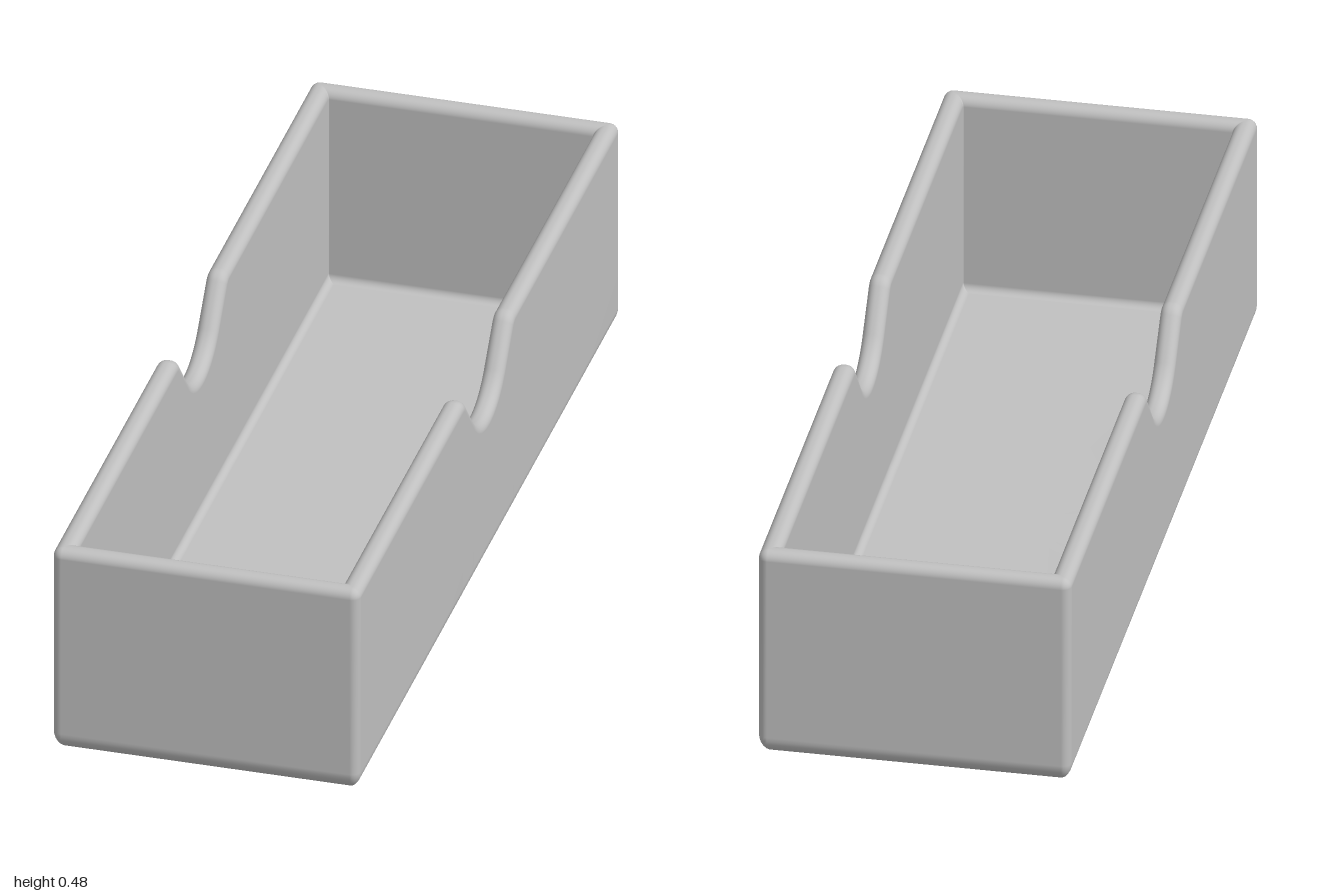
import * as THREE from 'three';

const HX = 0.328, HZ = 1, H = 0.48;      // half width, half length, height
const WALL = 0.045, RIM = 0.02, BASE_R = 0.045, CORNER = 0.02;
const FLOOR = 0.03, FLOOR_R = 0.016;

// Finger notch edge, from its lowest point outwards: [z, y, normal z, normal y]
function notchCurve() {
  const half = [], slope = THREE.MathUtils.degToRad(50), n = 12;
  for (let i = 0; i <= n; i++) {
    const a = slope * i / n, s = Math.sin(a), c = Math.cos(a);
    half.push([0.136 * s, 0.34 + 0.136 * (1 - c), -s, c]);
  }
  for (let i = 0; i <= n; i++) {
    const a = slope * (1 - i / n), s = Math.sin(a), c = Math.cos(a);
    half.push([0.2 - 0.04 * s, H - 0.04 + 0.04 * c, -s, c]);
  }
  const mirrored = half.slice(1).reverse().map(([z, y, nz, ny]) => [-z, y, -nz, ny]);
  return [...mirrored, ...half];
}

// Cross-section of the wall: outer base fillet, rounded rim, inner floor fillet
function wallRows() {
  const rows = [], n = 8, q = Math.PI / 2;
  for (let i = 0; i <= n; i++) {
    const a = q * i / n;
    rows.push({ inset: BASE_R * (1 - Math.sin(a)), y: BASE_R * (1 - Math.cos(a)), drop: RIM });
  }
  for (let i = 0; i <= n; i++) {
    const a = q * i / n;
    rows.push({ inset: RIM * (1 - Math.cos(a)), drop: RIM * (1 - Math.sin(a)) });
  }
  for (let i = 0; i <= n; i++) {
    const a = q * i / n;
    rows.push({ inset: WALL - RIM * (1 - Math.sin(a)), drop: RIM * (1 - Math.cos(a)) });
  }
  for (let i = 0; i <= n; i++) {
    const a = q * i / n;
    rows.push({ inset: WALL + FLOOR_R * (1 - Math.cos(a)), y: FLOOR + FLOOR_R * (1 - Math.sin(a)), drop: RIM });
  }
  return rows;
}

// One closed loop around the tray for a cross-section row
function loopPoints({ inset, y, drop }, notch) {
  const pts = [], hx = HX - inset, hz = HZ - inset, r = Math.max(CORNER - inset, 0.002);
  const flatY = y ?? H - drop;
  const signs = [[1, 1], [1, -1], [-1, -1], [-1, 1]];
  signs.forEach(([sx, sz], k) => {
    for (let i = 0; i <= 6; i++) {
      const a = (k + i / 6) * Math.PI / 2;
      pts.push([sx * (hx - r) + r * Math.sin(a), flatY, sz * (hz - r) + r * Math.cos(a)]);
    }
    if (k % 2) return;
    const side = k === 0 ? [...notch].reverse() : notch;
    for (const [z, top, nz, ny] of side) {
      pts.push([sx * hx, y ?? top - ny * drop, z - nz * drop]);
    }
  });
  return pts;
}

function trayGeometry() {
  const notch = notchCurve();
  const loops = wallRows().map(row => loopPoints(row, notch));
  const n = loops[0].length, m = loops.length, index = [];
  for (let j = 0; j < m - 1; j++) {
    for (let i = 0; i < n; i++) {
      const k = (i + 1) % n, a = j * n + i, b = j * n + k, c = b + n, d = a + n;
      index.push(a, b, c, a, c, d);
    }
  }
  // Underside and floor close towards their centres
  const under = n * m, floor = under + 1, last = (m - 1) * n;
  for (let i = 0; i < n; i++) {
    const k = (i + 1) % n;
    index.push(under, k, i, floor, last + i, last + k);
  }
  const points = [...loops.flat(), [0, 0, 0], [0, FLOOR, 0]];
  const geo = new THREE.BufferGeometry();
  geo.setAttribute('position', new THREE.Float32BufferAttribute(points.flat(), 3));
  geo.setIndex(index);
  geo.computeVertexNormals();
  return geo;
}

export function createModel() {
  const group = new THREE.Group();
  group.name = 'openTray';
  const grey = new THREE.MeshStandardMaterial({ color: 0xc0c0c0 });
  grey.name = 'light grey';
  const tray = new THREE.Mesh(trayGeometry(), grey);
  tray.name = 'trayBody';
  group.add(tray);
  return group;
}
